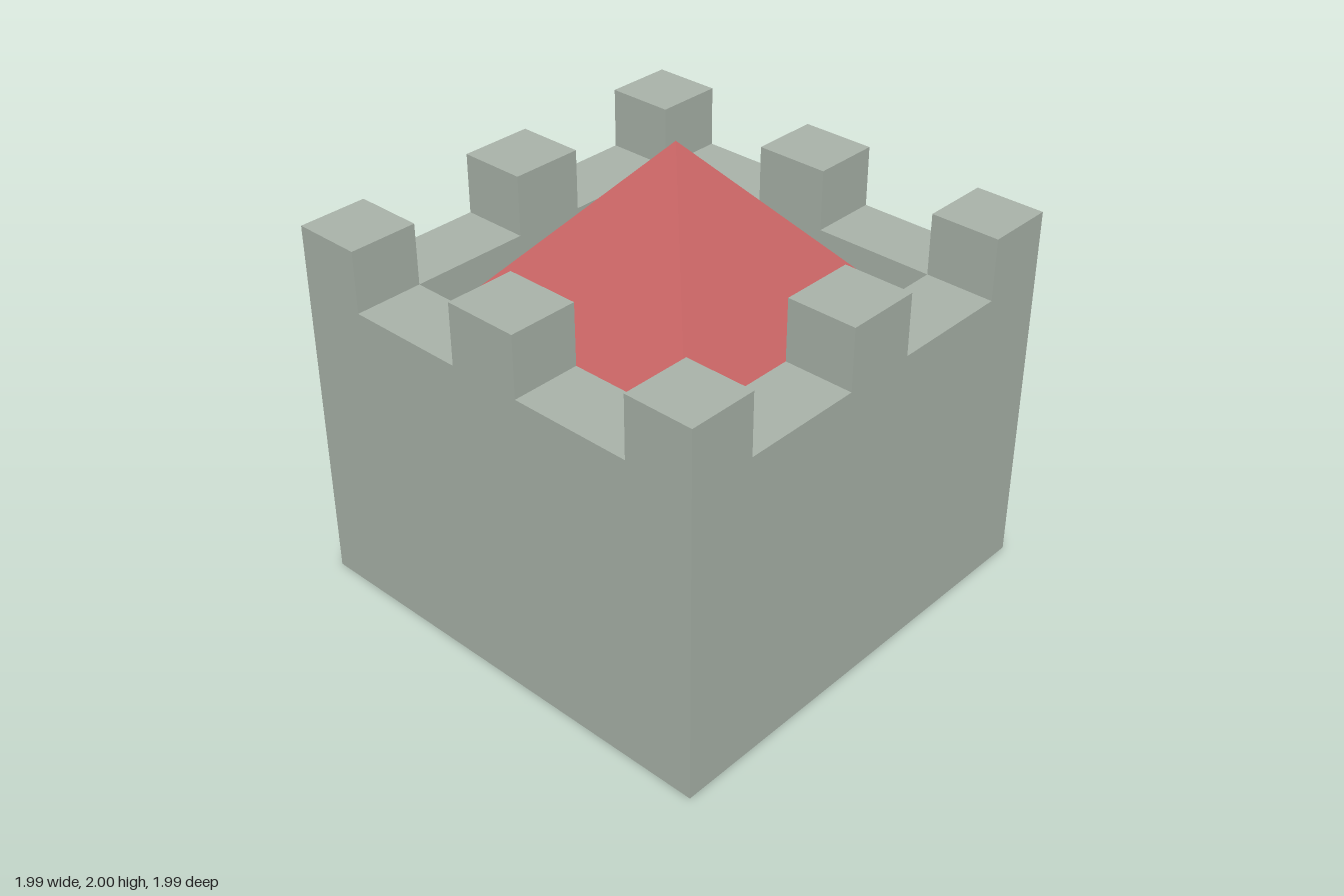
import * as THREE from 'three';

const HALF = 0.995;     // outer half width of the tower
const INNER = 0.695;    // inner half width of the parapet
const WALL_TOP = 1.355;
const MERLON_TOP = 1.62;

const stone = new THREE.MeshStandardMaterial({ color: 0xabb5ab, flatShading: true });
const tile = new THREE.MeshStandardMaterial({ color: 0xc86464, flatShading: true });

function squarePath(PathType, h) {
  return new PathType([[-h, -h], [h, -h], [h, h], [-h, h]].map(([x, y]) => new THREE.Vector2(x, y)));
}

function addMesh(parent, name, geometry, material, x = 0, y = 0, z = 0) {
  const mesh = new THREE.Mesh(geometry, material);
  mesh.name = name;
  mesh.position.set(x, y, z);
  parent.add(mesh);
  return mesh;
}

export function createModel() {
  const tower = new THREE.Group();
  tower.name = 'castleTower';

  // Square ring of walls
  const ring = squarePath(THREE.Shape, HALF);
  ring.holes.push(squarePath(THREE.Path, INNER));
  const walls = new THREE.ExtrudeGeometry(ring, { depth: WALL_TOP, bevelEnabled: false });
  walls.rotateX(-Math.PI / 2);
  addMesh(tower, 'walls', walls, stone);

  // Solid core that carries the roof
  const coreHeight = 1.1;
  addMesh(tower, 'core', new THREE.BoxGeometry(2 * INNER, coreHeight, 2 * INNER), stone, 0, coreHeight / 2, 0);

  // Merlons on the corners and in the middle of each side
  const merlons = new THREE.Group();
  merlons.name = 'merlons';
  tower.add(merlons);
  const thickness = HALF - INNER;
  const middle = 0.325;
  const height = MERLON_TOP - WALL_TOP;
  const offset = (HALF + INNER) / 2;
  for (const i of [-1, 0, 1]) {
    for (const k of [-1, 0, 1]) {
      if (i === 0 && k === 0) continue;
      const box = new THREE.BoxGeometry(i ? thickness : middle, height, k ? thickness : middle);
      addMesh(merlons, 'merlon', box, stone, i * offset, WALL_TOP + height / 2, k * offset);
    }
  }

  // Pyramid roof, set slightly off centre, its eaves buried in the walls
  const roofHalf = 0.8;
  const roofHeight = roofHalf / 0.884;
  const pyramid = new THREE.ConeGeometry(roofHalf * Math.SQRT2, roofHeight, 4);
  pyramid.rotateY(Math.PI / 4);
  addMesh(tower, 'roof', pyramid, tile, 0.08, 2 - roofHeight / 2, 0.08);

  return tower;
}
